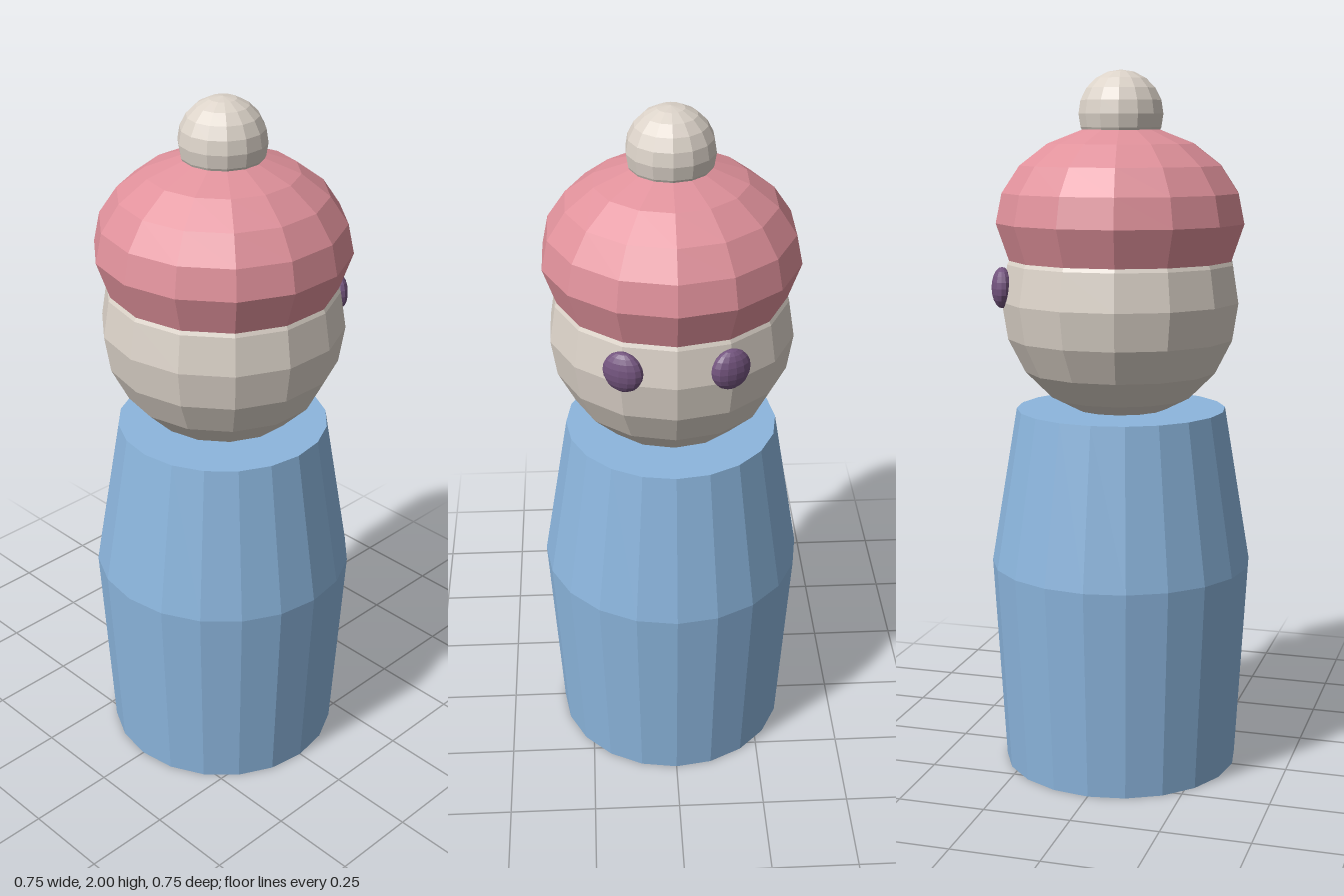
import * as THREE from 'three';

const wool = new THREE.MeshStandardMaterial({ color: 0x8cb6de });
wool.name = 'blue';
const felt = new THREE.MeshStandardMaterial({ color: 0xe0919b });
felt.name = 'pink';
const cream = new THREE.MeshStandardMaterial({ color: 0xdcd3c9 });
cream.name = 'cream';
const plum = new THREE.MeshStandardMaterial({ color: 0x74557f });
plum.name = 'plum';

// Faceted turned solid; the profile runs from bottom to top as [radius, height]
function turned(name, profile, sides, material) {
  const points = profile.map(([r, y]) => new THREE.Vector2(r, y));
  const geometry = new THREE.LatheGeometry(points, sides).toNonIndexed();
  geometry.computeVertexNormals();
  const mesh = new THREE.Mesh(geometry, material);
  mesh.name = name;
  return mesh;
}

// Rings of an ellipsoid, 18 degrees apart, from ring `first` up to the pole
function dome(radius, height, centre, first = -5) {
  const rings = [];
  for (let i = first; i <= 5; i++) {
    const a = (i * Math.PI) / 10;
    rings.push([Math.abs(i) === 5 ? 0 : radius * Math.cos(a), centre + height * Math.sin(a)]);
  }
  return rings;
}

export function createModel() {
  const model = new THREE.Group();
  model.name = 'pegFigure';

  // Body: tapered peg, widest above the middle, closed at both ends
  model.add(turned('body', [[0, 0], [0.34, 0], [0.375, 0.6], [0.3, 1.05], [0, 1.05]], 20, wool));

  // Head
  model.add(turned('head', dome(0.34, 0.34, 1.36), 14, cream));

  // Cap: flattened dome with a drawn-in rim
  const cap = [[0, 1.47], [0.316, 1.47], ...dome(0.354, 0.27, 1.58, 0)];
  model.add(turned('cap', cap, 14, felt));

  // Bobble on top of the cap
  model.add(turned('bobble', dome(0.12, 0.12, 1.88), 14, cream));

  // Eyes: flattened beads lying against the back of the head
  for (const side of [-1, 1]) {
    const eye = turned(side > 0 ? 'leftEye' : 'rightEye', dome(0.056, 0.058, 0), 14, plum);
    eye.position.set(side * 0.14, 1.4, -0.307);
    eye.rotation.y = -side * 0.43;
    eye.scale.z = 0.54;
    model.add(eye);
  }
  return model;
}
